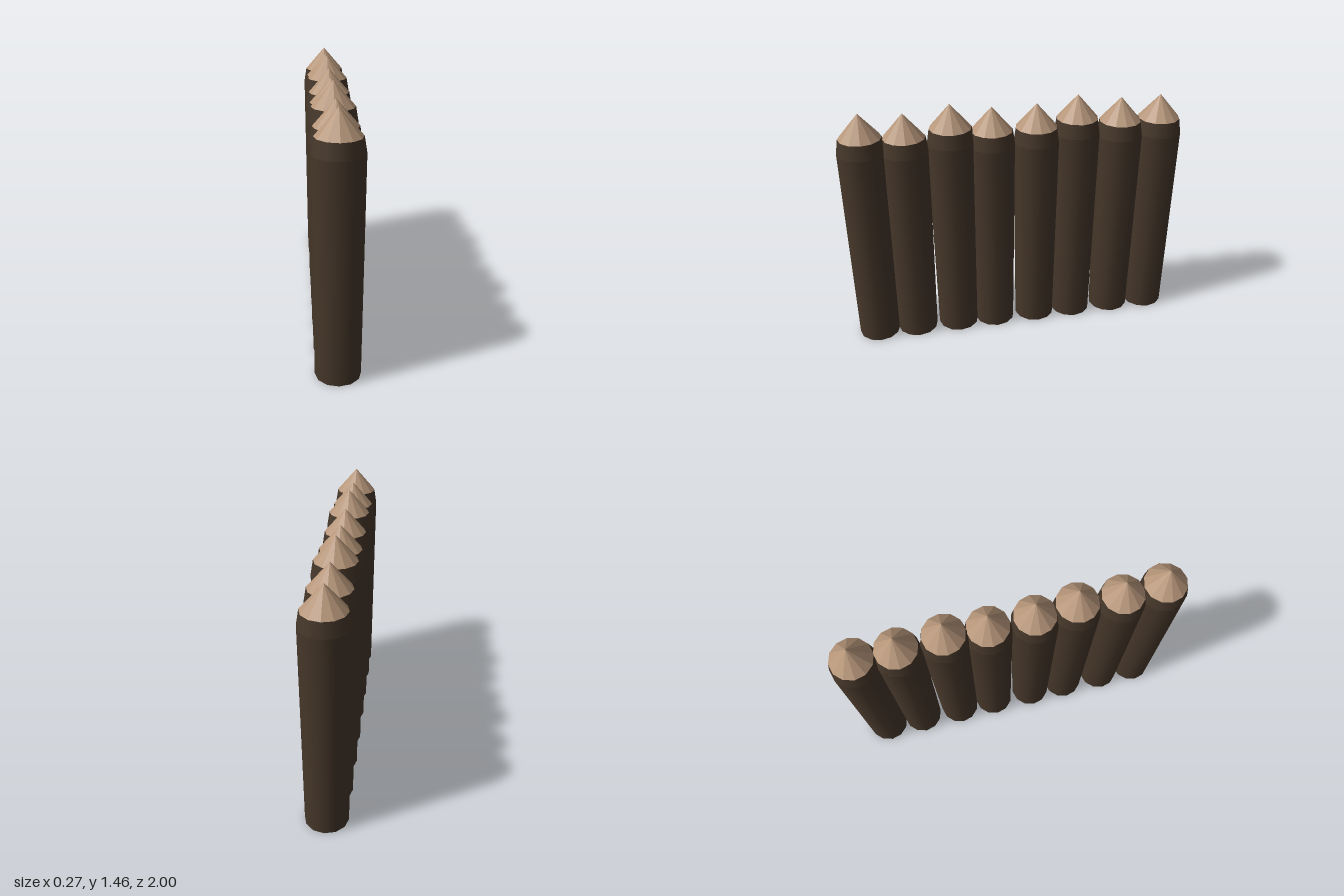
import * as THREE from 'three';

const SIDES = 12;
const FOOT_R = 0.122, WIDE_R = 0.135, NECK_R = 0.121;
const BEVEL_H = 0.085, TIP_H = 0.14;

// z position and shoulder height of each log, front to back
const LOGS = [
  [0.865, 1.297], [0.627, 1.28], [0.367, 1.315], [0.133, 1.28],
  [-0.127, 1.28], [-0.367, 1.315], [-0.627, 1.28], [-0.865, 1.28],
];

const bark = new THREE.MeshStandardMaterial({ color: 0x46372a });
const cutWood = new THREE.MeshStandardMaterial({ color: 0xb6967a, flatShading: true });

function addPart(parent, name, geometry, material, y) {
  const mesh = new THREE.Mesh(geometry, material);
  mesh.name = name;
  mesh.position.y = y;
  parent.add(mesh);
}

function createLog(shoulder) {
  const log = new THREE.Group();
  log.name = 'log';
  const trunkH = shoulder - BEVEL_H;
  // trunk widens slightly upward; its bottom cap closes the foot
  addPart(log, 'trunk', new THREE.CylinderGeometry(WIDE_R, FOOT_R, trunkH, SIDES), bark, trunkH / 2);
  // bevelled band under the sharpened tip
  addPart(log, 'shoulder', new THREE.CylinderGeometry(NECK_R, WIDE_R, BEVEL_H, SIDES, 1, true), bark, trunkH + BEVEL_H / 2);
  // faceted point of bare wood
  addPart(log, 'tip', new THREE.ConeGeometry(NECK_R, TIP_H, SIDES, 1, true), cutWood, shoulder + TIP_H / 2);
  return log;
}

export function createModel() {
  const palisade = new THREE.Group();
  palisade.name = 'palisade';
  for (const [z, shoulder] of LOGS) {
    const log = createLog(shoulder);
    log.position.z = z;
    palisade.add(log);
  }
  return palisade;
}
